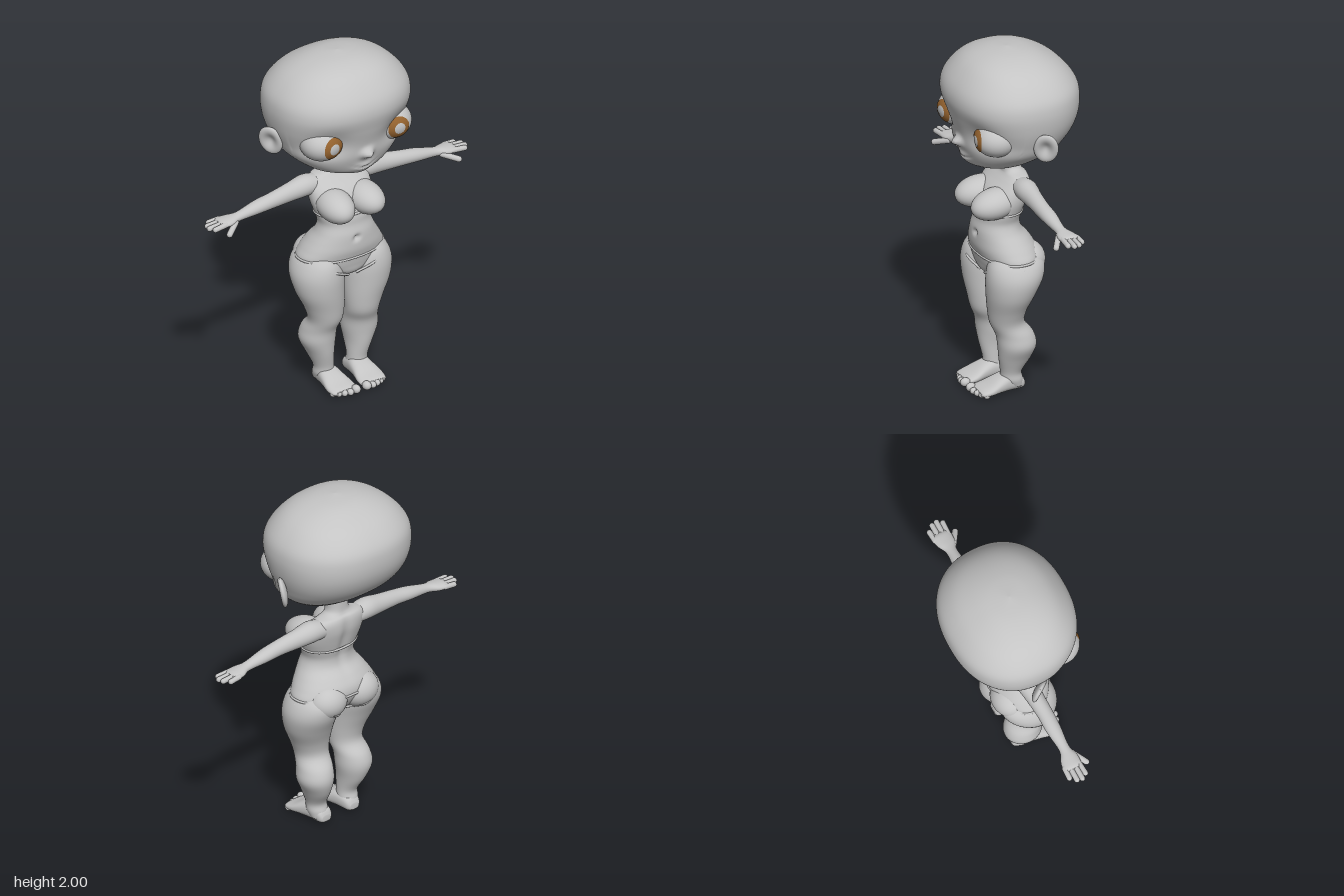
import * as THREE from 'three';

const skin = new THREE.MeshStandardMaterial({ color: 0xc4c4c4 });
skin.name = 'plain grey';
const brown = new THREE.MeshStandardMaterial({ color: 0x94622e });
brown.name = 'iris brown';

const bump = (x, y, sx, sy) => Math.exp(-((x / sx) ** 2) - (y / sy) ** 2);
const spow = (v, p) => Math.sign(v) * Math.abs(v) ** p;

// Smooth interpolation of cross-section rows at index u
function rowAt(rows, u) {
  const i = Math.min(Math.floor(u), rows.length - 2), t = u - i;
  const [a, b, c, d] = [i - 1, i, i + 1, i + 2].map(k => rows[Math.min(Math.max(k, 0), rows.length - 1)]);
  return b.map((_, k) => {
    const m0 = (c[k] - a[k]) / 2, m1 = (d[k] - b[k]) / 2;
    return (2 * t ** 3 - 3 * t * t + 1) * b[k] + (t ** 3 - 2 * t * t + t) * m0
      + (3 * t * t - 2 * t ** 3) * c[k] + (t ** 3 - t * t) * m1;
  });
}

// One point of a cross-section: row = [y, centre x, half width, front z, back z]
function sectionPoint([y, cx, hw, zf, zb], angle, n) {
  return new THREE.Vector3(
    cx + hw * spow(Math.cos(angle), 2 / n), y,
    (zf + zb) / 2 + (zf - zb) / 2 * spow(Math.sin(angle), 2 / n));
}

// Closed body lofted upwards through the rows, with rounded ends
function loft(rows, { n = 2, seg = 40, sub = 5, deform } = {}) {
  const pos = [], idx = [], steps = (rows.length - 1) * sub;
  const flat = r => [r[0], r[1], 0, (r[3] + r[4]) / 2, (r[3] + r[4]) / 2];
  const all = [flat(rows[0])];
  for (let i = 0; i <= steps; i++) all.push(rowAt(rows, i / sub));
  all.push(flat(rows[rows.length - 1]));
  all.forEach((row, i) => {
    for (let j = 0; j < seg; j++) {
      const p = sectionPoint(row, j / seg * Math.PI * 2, n);
      if (deform) deform(p);
      pos.push(p.x, p.y, p.z);
      if (i === all.length - 1) continue;
      const a = i * seg + j, b = i * seg + (j + 1) % seg;
      idx.push(a, a + seg, b, b, a + seg, b + seg);
    }
  });
  const g = new THREE.BufferGeometry();
  g.setAttribute('position', new THREE.Float32BufferAttribute(pos, 3));
  g.setIndex(idx);
  g.computeVertexNormals();
  return g;
}

const ellipsoid = (x, y, z, rx, ry, rz) =>
  new THREE.SphereGeometry(1, 40, 28).scale(rx, ry, rz).translate(x, y, z);

const tube = (pts, r, closed = false) => new THREE.TubeGeometry(
  new THREE.CatmullRomCurve3(pts.map(p => p.isVector3 ? p : new THREE.Vector3(...p)), closed), 64, r, 8, closed);

// Capsule-like digit between two points
function digit(a, b, r) {
  const A = new THREE.Vector3(...a), B = new THREE.Vector3(...b), d = B.clone().sub(A);
  const g = new THREE.CapsuleGeometry(r, d.length(), 6, 12);
  g.applyQuaternion(new THREE.Quaternion().setFromUnitVectors(new THREE.Vector3(0, 1, 0), d.normalize()));
  return g.translate(...A.add(B).multiplyScalar(0.5).toArray());
}

function mirrored(geo) {
  const g = geo.clone().scale(-1, 1, 1), ix = g.index.array;
  for (let i = 0; i < ix.length; i += 3) [ix[i], ix[i + 1]] = [ix[i + 1], ix[i]];
  return g;
}

export function createModel() {
  const model = new THREE.Group();
  model.name = 'doll figure';
  const add = (name, geo, mat = skin) => {
    const m = new THREE.Mesh(geo, mat);
    m.name = name;
    model.add(m);
  };
  const pair = (name, geo, mat) => {
    add(name + 'Left', geo, mat);
    add(name + 'Right', mirrored(geo), mat);
  };

  // Head with eye sockets, nose, lips and chin
  add('head', loft([
    [1.335, 0, 0.08, 0.2, 0.02], [1.355, 0, 0.145, 0.24, -0.05], [1.39, 0, 0.235, 0.265, -0.1],
    [1.47, 0, 0.335, 0.295, -0.22], [1.55, 0, 0.375, 0.31, -0.3], [1.64, 0, 0.402, 0.335, -0.345],
    [1.735, 0, 0.41, 0.355, -0.357], [1.815, 0, 0.39, 0.34, -0.34], [1.895, 0, 0.325, 0.285, -0.275],
    [1.95, 0, 0.24, 0.22, -0.19], [1.985, 0, 0.13, 0.13, -0.1], [2, 0, 0, 0.015, 0.015],
  ], {
    n: 2.25, seg: 176, sub: 8,
    deform(p) {
      if (p.z < 0.1) return;
      const { x, y } = p;
      p.z += 0.05 * bump(x, y - 1.49, 0.032, 0.026)
        - 0.035 * bump(Math.abs(x) - 0.225, y - 1.575, 0.11, 0.085)
        + 0.022 * bump(x, y - 1.395, 0.06, 0.03)
        - 0.014 * bump(x, y - 1.398 - x * x * 3, 0.055, 0.006)
        + 0.01 * bump(x, y - 1.35, 0.05, 0.02);
    },
  }));

  // Eyes: ball, iris ring laid on the ball, soft lid rim
  const eye = { x: 0.225, y: 1.577, z: 0.19, rx: 0.12, ry: 0.1, rz: 0.12 };
  const onEye = (x, y) => eye.z + eye.rz * Math.sqrt(
    Math.max(0, 1 - ((x - eye.x) / eye.rx) ** 2 - ((y - eye.y) / eye.ry) ** 2));
  pair('eyeball', ellipsoid(eye.x, eye.y, eye.z, eye.rx, eye.ry, eye.rz));
  const iris = new THREE.RingGeometry(0.032, 0.063, 48, 4).translate(0.213, 1.577, 0);
  const ip = iris.attributes.position;
  for (let i = 0; i < ip.count; i++) ip.setZ(i, onEye(ip.getX(i), ip.getY(i)) + 0.003);
  iris.computeVertexNormals();
  pair('iris', iris, brown);

  // Cupped ears
  const ear = new THREE.SphereGeometry(1, 48, 32), ep = ear.attributes.position;
  for (let i = 0; i < ep.count; i++) {
    const x = ep.getX(i), r2 = ep.getY(i) ** 2 + ep.getZ(i) ** 2;
    if (x > 0) ep.setX(i, x - 1.25 * Math.exp(-r2 / 0.3));
  }
  ear.scale(0.028, 0.09, 0.068).rotateY(-0.6).rotateZ(-0.22).translate(0.41, 1.55, -0.02);
  ear.computeVertexNormals();
  pair('ear', ear);

  // Neck, trunk and hips
  const trunk = [
    [0.665, 0, 0.03, 0.12, 0], [0.7, 0, 0.12, 0.17, -0.06], [0.75, 0, 0.24, 0.185, -0.1],
    [0.8, 0, 0.262, 0.195, -0.12], [0.85, 0, 0.238, 0.208, -0.115], [0.9, 0, 0.205, 0.21, -0.085],
    [0.95, 0, 0.172, 0.207, -0.045], [1, 0, 0.155, 0.195, -0.035], [1.05, 0, 0.165, 0.19, -0.045],
    [1.12, 0, 0.185, 0.17, -0.065], [1.18, 0, 0.19, 0.14, -0.08], [1.23, 0, 0.185, 0.09, -0.082],
    [1.262, 0, 0.15, 0.06, -0.075], [1.28, 0, 0.09, 0.055, -0.06], [1.31, 0, 0.066, 0.06, -0.052],
    [1.39, 0, 0.07, 0.07, -0.05],
  ];
  add('trunk', loft(trunk, {
    n: 2.15, seg: 96, sub: 6,
    deform(p) {
      if (p.z > 0.05) p.z -= 0.02 * bump(p.x, p.y - 0.925, 0.018, 0.016);
      else if (p.z < 0) p.z += 0.015 * bump(p.x, p.y - 1.1, 0.03, 0.15);
    },
  }));
  pair('chest', ellipsoid(0, 0, 0, 0.098, 0.085, 0.14).rotateX(0.12).rotateY(0.08).translate(0.095, 1.122, 0.135));
  pair('seat', ellipsoid(0.112, 0.775, -0.045, 0.118, 0.1, 0.102));

  // Raised clothing edges
  const band = (u, grow) => Array.from({ length: 40 }, (_, j) => {
    const p = sectionPoint(rowAt(trunk, u), j / 40 * Math.PI * 2, 2.15);
    return p.multiply(new THREE.Vector3(grow, 1, grow));
  });
  add('topBand', tube(band(8.2, 1), 0.007, true));
  add('waistBand', tube(band(3, 1), 0.007, true));
  pair('briefsFrontEdge', tube([[0.272, 0.775, 0.04], [0.225, 0.765, 0.14], [0.12, 0.735, 0.195], [0.025, 0.685, 0.16]], 0.007));
  pair('briefsBackEdge', tube([[0.272, 0.775, 0.04], [0.21, 0.76, -0.088], [0.11, 0.715, -0.125], [0.02, 0.69, -0.05]], 0.007));

  // Legs
  pair('leg', loft([
    [0.03, 0.105, 0.05, 0.07, -0.025], [0.07, 0.108, 0.058, 0.1, -0.022], [0.12, 0.11, 0.058, 0.105, -0.015],
    [0.2, 0.125, 0.076, 0.12, -0.06], [0.28, 0.137, 0.1, 0.13, -0.085], [0.35, 0.132, 0.098, 0.14, -0.07],
    [0.42, 0.12, 0.097, 0.17, -0.022], [0.5, 0.128, 0.113, 0.185, -0.03], [0.6, 0.148, 0.138, 0.2, -0.07],
    [0.7, 0.155, 0.147, 0.205, -0.115], [0.78, 0.15, 0.125, 0.19, -0.12], [0.84, 0.14, 0.08, 0.15, -0.07],
  ], { seg: 56 }));

  // Feet, lofted heel to toe
  pair('foot', loft([
    [-0.032, 0.1, 0.03, -0.015, -0.05], [-0.01, 0.1, 0.048, -0.004, -0.085], [0.06, 0.1, 0.06, -0.004, -0.11],
    [0.12, 0.1, 0.07, -0.004, -0.092], [0.18, 0.098, 0.082, -0.004, -0.062], [0.225, 0.095, 0.08, -0.005, -0.045],
    [0.242, 0.095, 0.065, -0.01, -0.035],
  ], { n: 2.4 }).rotateX(Math.PI / 2));
  [[0.035, 0.248, 0.025], [0.073, 0.25, 0.019], [0.106, 0.242, 0.018], [0.136, 0.23, 0.017], [0.162, 0.213, 0.016]]
    .forEach(([x, z, r], i) => pair('toe' + (i + 1), ellipsoid(x, r, z, r, r, r * 1.15)));

  // Arms with palms, lofted along x
  pair('arm', loft([
    [0.11, -1.21, 0.05, 0.05, -0.06], [0.2, -1.217, 0.06, 0.058, -0.066], [0.3, -1.207, 0.053, 0.05, -0.05],
    [0.42, -1.196, 0.044, 0.05, -0.037], [0.52, -1.185, 0.038, 0.048, -0.035], [0.64, -1.167, 0.026, 0.038, -0.022],
    [0.7, -1.16, 0.025, 0.055, -0.045], [0.75, -1.158, 0.021, 0.055, -0.056], [0.77, -1.157, 0.012, 0.045, -0.045],
  ]).rotateZ(-Math.PI / 2));
  [[0.04, 0.045, 0.815], [0.014, 0.016, 0.834], [-0.014, -0.014, 0.828], [-0.042, -0.045, 0.8]].forEach(
    ([z0, z1, x], i) => pair('finger' + (i + 1), digit([0.74, 1.158, z0], [x, 1.153, z1], 0.0155)));
  pair('thumb', digit([0.675, 1.152, 0.035], [0.75, 1.122, 0.085], 0.017));

  return model;
}
